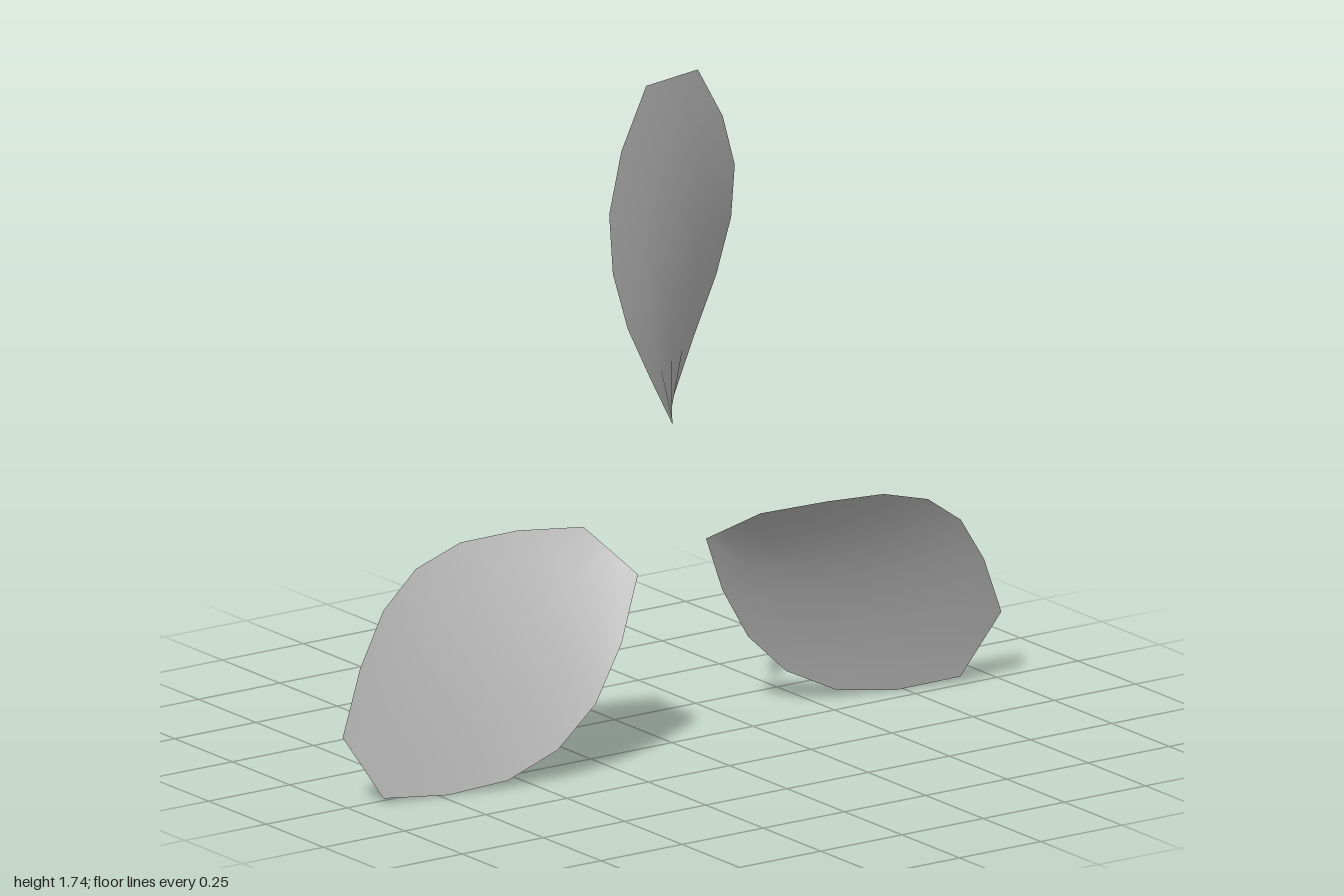
import * as THREE from 'three';

// half-chord of each blade section from root to tip, as [x, z]
const SECTIONS = [
  [0.08, 0.055], [0.12, 0.152], [0.132, 0.23], [0.12, 0.267],
  [0.09, 0.257], [0.055, 0.195], [0.022, 0.095],
];
const ROOT = 0.218, TIP = 1.098, HUB_Y = 0.647, CHORD_STEPS = 4;

// thin twisted sheet lofted through the sections, pointing up from the hub axis
function bladeGeometry() {
  const geo = new THREE.PlaneGeometry(1, 1, CHORD_STEPS, SECTIONS.length - 1);
  const pos = geo.attributes.position;
  SECTIONS.forEach(([hx, hz], row) => {
    const y = ROOT + (TIP - ROOT) * row / (SECTIONS.length - 1);
    for (let i = 0; i <= CHORD_STEPS; i++) {
      const t = 1 - 2 * i / CHORD_STEPS;
      pos.setXYZ(row * (CHORD_STEPS + 1) + i, hx * t, y, hz * t);
    }
  });
  geo.computeVertexNormals();
  return geo;
}

export function createModel() {
  const model = new THREE.Group();
  model.name = 'propeller';
  const metal = new THREE.MeshStandardMaterial({ color: 0xbbbbbb, side: THREE.DoubleSide });
  metal.name = 'bladeGrey';

  // three equal blades around the x axis
  const geo = bladeGeometry();
  ['topBlade', 'frontBlade', 'backBlade'].forEach((name, i) => {
    const blade = new THREE.Mesh(geo, metal);
    blade.name = name;
    blade.position.y = HUB_Y;
    blade.rotation.x = i * Math.PI * 2 / 3;
    model.add(blade);
  });
  return model;
}
